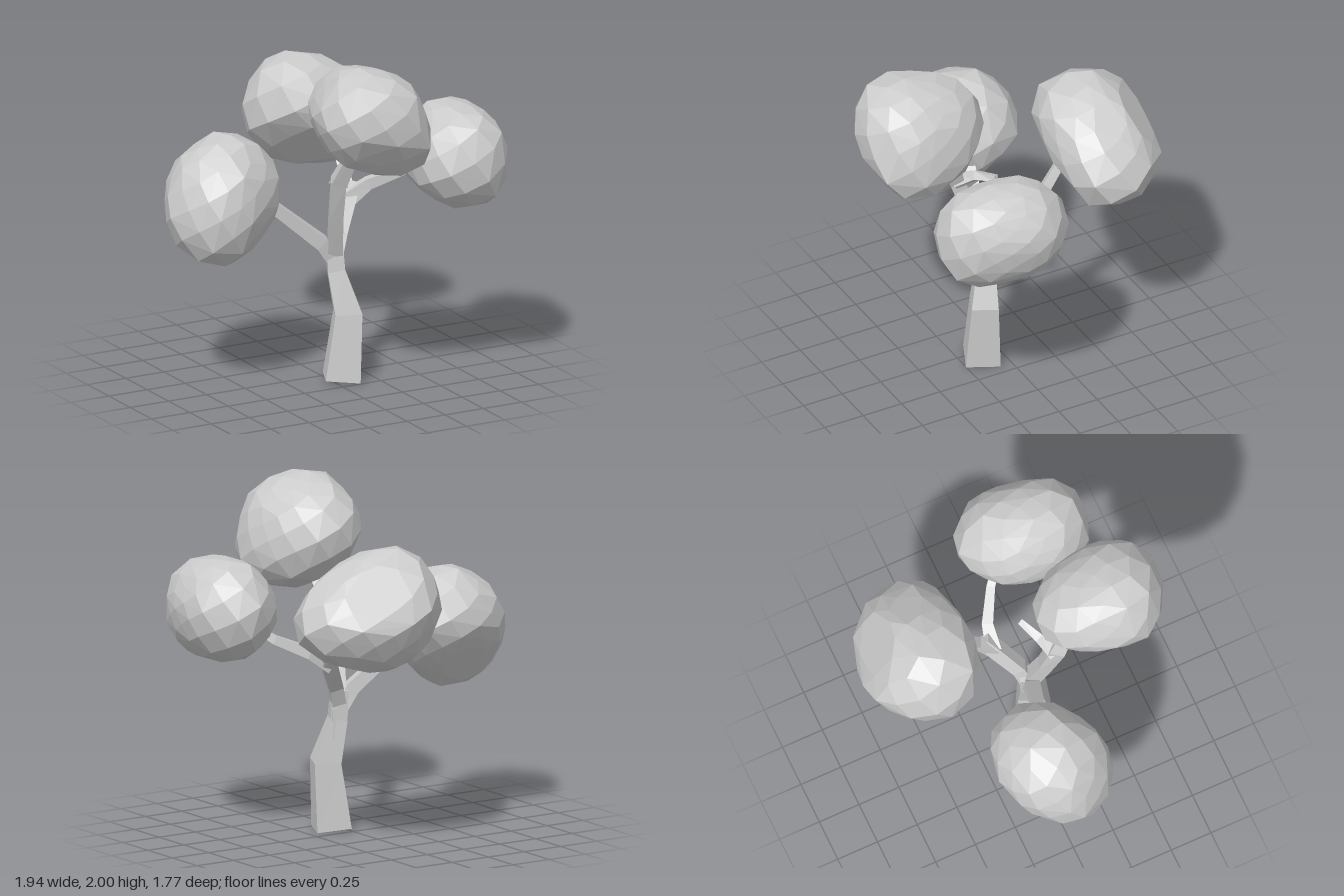
import * as THREE from 'three';
import { ConvexGeometry } from 'three/addons/geometries/ConvexGeometry.js';

const material = new THREE.MeshStandardMaterial({ color: 0xcccccc, flatShading: true });

// Square-section limb swept through rings of [x, y, z, width]
function limb(name, rings) {
  const centres = rings.map(([x, y, z]) => new THREE.Vector3(x, y, z));
  const side = new THREE.Vector3(0.41, 0, -0.91);
  const pos = [], index = [], last = rings.length - 1;
  rings.forEach((ring, i) => {
    const t = centres[Math.min(i + 1, last)].clone().sub(centres[Math.max(i - 1, 0)]).normalize();
    const u = side.clone().addScaledVector(t, -side.dot(t)).normalize();
    const v = t.clone().cross(u);
    for (const [a, b] of [[-1, -1], [1, -1], [1, 1], [-1, 1]]) {
      const p = centres[i].clone().addScaledVector(u, a * ring[3] / 2).addScaledVector(v, b * ring[3] / 2);
      pos.push(p.x, p.y, p.z);
    }
    if (i === last) return;
    for (let k = 0; k < 4; k++) {
      const a = i * 4 + k, b = i * 4 + (k + 1) % 4;
      index.push(a, b, b + 4, a, b + 4, a + 4);
    }
  });
  const e = last * 4;
  index.push(0, 2, 1, 0, 3, 2, e, e + 1, e + 2, e, e + 2, e + 3);
  const indexed = new THREE.BufferGeometry();
  indexed.setAttribute('position', new THREE.Float32BufferAttribute(pos, 3));
  indexed.setIndex(index);
  const geo = indexed.toNonIndexed();
  geo.computeVertexNormals();
  const mesh = new THREE.Mesh(geo, material);
  mesh.name = name;
  return mesh;
}

// Distance from a centre to a closed outline along direction (dx, dy)
function reach(outline, cx, cy, dx, dy) {
  let best = 0;
  outline.forEach(([x1, y1], i) => {
    const [x2, y2] = outline[(i + 1) % outline.length];
    const ex = x2 - x1, ey = y2 - y1, det = ex * dy - ey * dx;
    if (Math.abs(det) < 1e-9) return;
    const qx = x1 - cx, qy = y1 - cy;
    const s = (qy * dx - qx * dy) / det;
    const r = (ex * qy - ey * qx) / det;
    if (s >= -1e-6 && s <= 1 + 1e-6 && r > best) best = r;
  });
  return best;
}

// Faceted foliage: radius blends front (x,y), side (z,y) and top (x,z) outlines,
// and flat faces are cut by planes [nx, ny, nz, distance]
function foliage(name, front, sideways, top, cuts) {
  const box = new THREE.Box3();
  front.forEach(([x, y]) => top.forEach(([, z]) => box.expandByPoint(new THREE.Vector3(x, y, z))));
  const c = box.getCenter(new THREE.Vector3());
  const points = [], count = 90;
  for (let i = 0; i < count; i++) {
    const y = 1 - (2 * i + 1) / count, h = Math.sqrt(1 - y * y), a = i * 2.39996;
    const d = new THREE.Vector3(h * Math.cos(a), y, h * Math.sin(a));
    let sum = 0;
    for (const [outline, p, q] of [[front, 'x', 'y'], [sideways, 'z', 'y'], [top, 'x', 'z']]) {
      const r = reach(outline, c[p], c[q], d[p], d[q]);
      if (r > 0) sum += 1 / (r * r);
    }
    d.multiplyScalar(Math.sqrt(2 / sum));
    for (const [nx, ny, nz, distance] of cuts) {
      const n = new THREE.Vector3(nx, ny, nz);
      const out = n.dot(d), limit = distance - n.dot(c);
      if (out > limit) d.multiplyScalar(limit / out);
    }
    points.push(d);
  }
  // fill the full extents of the outlines
  const got = new THREE.Box3().setFromPoints(points);
  const mid = got.getCenter(new THREE.Vector3());
  const scale = box.getSize(new THREE.Vector3()).divide(got.getSize(new THREE.Vector3()));
  points.forEach((p) => p.sub(mid).multiply(scale).add(c));
  const mesh = new THREE.Mesh(new ConvexGeometry(points), material);
  mesh.name = name;
  return mesh;
}

export function createModel() {
  const tree = new THREE.Group();
  tree.name = 'tree';

  // Trunk and branches
  tree.add(
    limb('trunk', [[0.063, 0.01, 0.125, 0.2], [0.1, 0.4, 0.13, 0.155], [0.045, 0.65, 0.09, 0.1], [0.04, 0.82, 0.08, 0.09]]),
    limb('rightBranch', [[0.04, 0.7, 0.085, 0.08], [-0.04, 0.82, 0.075, 0.08], [-0.32, 1.06, 0.0, 0.065], [-0.45, 1.15, -0.03, 0.05]]),
    limb('frontBranch', [[0.04, 0.74, 0.085, 0.085], [0.0, 1.0, 0.17, 0.08], [-0.02, 1.22, 0.235, 0.09], [0.03, 1.48, 0.38, 0.06]]),
    limb('frontTwig', [[-0.02, 1.2, 0.23, 0.09], [0.07, 1.28, 0.165, 0.055], [0.19, 1.31, 0.1, 0.035]]),
    limb('leftBranch', [[0.04, 0.72, 0.085, 0.08], [0.09, 0.85, 0.05, 0.08], [0.21, 1.02, -0.06, 0.085], [0.25, 1.09, -0.1, 0.06]]),
    limb('leftFork', [[0.2, 1.01, -0.06, 0.09], [0.33, 1.09, -0.04, 0.065], [0.5, 1.17, 0.06, 0.05], [0.6, 1.25, 0.15, 0.04]]),
    limb('backFork', [[0.21, 1.01, -0.06, 0.085], [0.24, 1.12, -0.15, 0.06], [0.24, 1.34, -0.3, 0.05]]),
    limb('trunkTwig', [[0.085, 0.72, 0.06, 0.03], [0.095, 0.54, 0.055, 0.008]]),
  );

  // Four clumps of foliage
  tree.add(
    foliage('rightFoliage',
      [[-0.97, 1.0], [-0.92, 1.17], [-0.82, 1.36], [-0.6, 1.5], [-0.38, 1.43], [-0.23, 1.25], [-0.25, 1.1], [-0.56, 0.81], [-0.7, 0.78], [-0.86, 0.81]],
      [[0.27, 1.05], [0.22, 1.3], [0.05, 1.48], [-0.18, 1.49], [-0.33, 1.38], [-0.4, 1.22], [-0.08, 0.83], [0.1, 0.78], [0.21, 0.84]],
      [[-0.97, -0.05], [-0.84, -0.31], [-0.52, -0.4], [-0.3, -0.33], [-0.23, -0.11], [-0.3, 0.05], [-0.62, 0.26], [-0.83, 0.23]],
      [[0, -0.64, -0.77, -0.45]]),
    foliage('frontFoliage',
      [[-0.33, 1.73], [-0.19, 1.98], [-0.11, 2.0], [0.13, 1.9], [0.22, 1.81], [0.34, 1.52], [0.33, 1.37], [0.2, 1.34], [0.06, 1.36], [-0.17, 1.48]],
      [[0.88, 1.52], [0.87, 1.88], [0.77, 1.98], [0.65, 2.0], [0.27, 1.9], [0.18, 1.84], [0.13, 1.65], [0.3, 1.45], [0.5, 1.35], [0.72, 1.38]],
      [[-0.33, 0.66], [-0.22, 0.33], [-0.14, 0.18], [0, 0.12], [0.14, 0.18], [0.26, 0.3], [0.34, 0.6], [0.32, 0.76], [0.2, 0.88], [0, 0.87], [-0.2, 0.79]],
      [[-0.315, -0.603, 0.731, -0.35], [0.278, 0.63, -0.712, 1.03]]),
    foliage('leftFoliage',
      [[0.38, 1.3], [0.42, 1.45], [0.57, 1.61], [0.7, 1.62], [0.84, 1.58], [0.97, 1.37], [0.92, 1.15], [0.8, 1.03], [0.6, 1.03], [0.39, 1.2]],
      [[0.73, 1.25], [0.69, 1.54], [0.55, 1.6], [0.14, 1.61], [0.02, 1.52], [-0.05, 1.4], [-0.03, 1.22], [0.05, 1.1], [0.2, 1.04], [0.57, 1.03], [0.7, 1.12]],
      [[0.38, 0.5], [0.44, 0.17], [0.53, 0.05], [0.67, -0.06], [0.8, -0.05], [0.92, 0.05], [0.97, 0.2], [0.87, 0.6], [0.78, 0.71], [0.65, 0.73], [0.48, 0.69]],
      []),
    foliage('backFoliage',
      [[-0.19, 1.47], [-0.13, 1.3], [0, 1.13], [0.15, 1.07], [0.35, 1.08], [0.6, 1.18], [0.7, 1.33], [0.5, 1.53], [0.3, 1.67], [0.1, 1.77], [-0.08, 1.74]],
      [[-0.2, 1.68], [-0.4, 1.77], [-0.58, 1.77], [-0.75, 1.67], [-0.89, 1.45], [-0.75, 1.13], [-0.65, 1.07], [-0.42, 1.09], [-0.26, 1.17]],
      [[-0.19, -0.47], [-0.06, -0.76], [0.1, -0.87], [0.25, -0.89], [0.4, -0.84], [0.6, -0.64], [0.7, -0.42], [0.6, -0.22], [0, -0.21], [-0.13, -0.25]],
      [[-0.245, -0.67, 0.7, -1.14], [-0.1, -0.864, 0.5, -1.22], [0.336, 0.585, -0.739, 1.55], [0.567, 0.825, 0, 1.58]]),
  );
  return tree;
}
